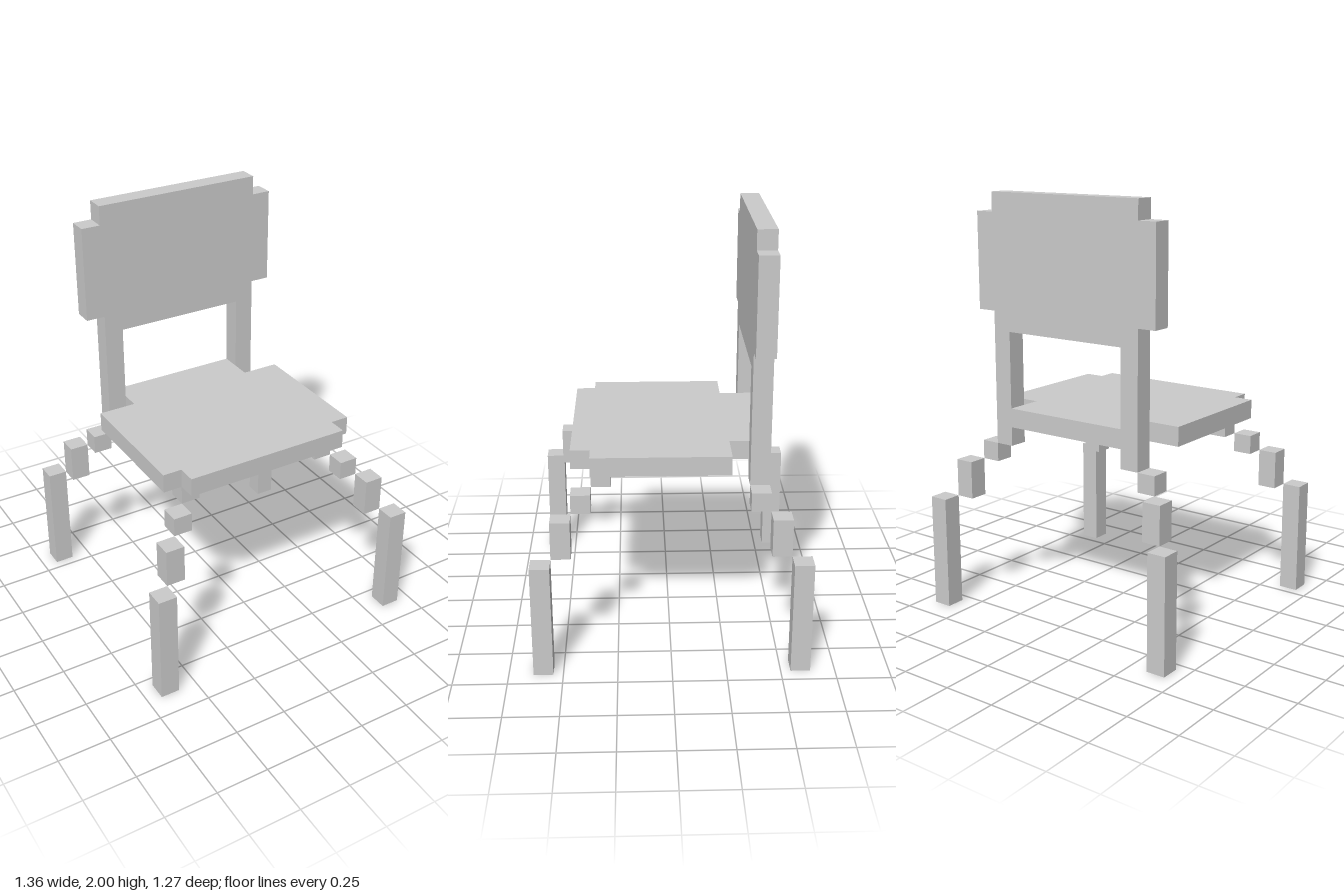
import * as THREE from 'three';

// Everything sits on a block grid: 22 blocks tall = 2 units
const U = 2 / 22;
const material = new THREE.MeshStandardMaterial({ color: 0xcccccc, flatShading: true });

// Closed shape, mirrored across x, from the points of its +x half (in blocks)
function mirroredShape(half) {
  const mirror = half.map(([x, y]) => [-x, y]).reverse();
  return new THREE.Shape([...half, ...mirror].map(([x, y]) => new THREE.Vector2(x * U, y * U)));
}

// One-block-thick slab
function slab(name, shape) {
  const geometry = new THREE.ExtrudeGeometry(shape, { depth: U, bevelEnabled: false });
  const mesh = new THREE.Mesh(geometry, material);
  mesh.name = name;
  return mesh;
}

// Leg blocks stepping outward: [x, z, bottom, top] in blocks, x and z being centres
function makeLeg(name, sideX, sideZ, steps) {
  const leg = new THREE.Group();
  leg.name = name;
  steps.forEach(([x, z, bottom, top], i) => {
    const block = new THREE.Mesh(new THREE.BoxGeometry(U, (top - bottom) * U, U), material);
    block.position.set(sideX * x * U, (bottom + top) / 2 * U, sideZ * z * U);
    block.name = `${name}Step${i + 1}`;
    leg.add(block);
  });
  return leg;
}

export function createModel() {
  const chair = new THREE.Group();
  chair.name = 'chair';

  // Seat: front corners notched, narrowed at the back to pass between the posts
  const seat = slab('seat', mirroredShape([
    [3.5, -4], [3.5, -3], [5.5, -3], [5.5, 4], [4.5, 4], [4.5, 5],
  ]));
  seat.rotation.x = Math.PI / 2;
  seat.position.y = 11 * U;
  chair.add(seat);

  // Backrest: panel with side ears, two posts and a bottom rail around an opening
  const backShape = mirroredShape([
    [3.5, 10], [3.5, 9], [4.5, 9], [4.5, 16], [5.5, 16], [5.5, 21], [4.5, 21], [4.5, 22],
  ]);
  backShape.holes.push(mirroredShape([[3.5, 11], [3.5, 15]]));
  const backrest = slab('backrest', backShape);
  backrest.position.z = -5 * U;
  chair.add(backrest);

  // Legs: the rear ones start from the backrest posts
  const lower = [[6, 5.5, 6, 8], [7, 6.5, 0, 6]];
  const frontSteps = [[4, 3.5, 9, 10], [5, 4.5, 8, 9], ...lower];
  const rearSteps = [[5, 4.5, 8, 9], ...lower];
  for (const [side, sx] of [['Left', 1], ['Right', -1]]) {
    chair.add(makeLeg(`front${side}Leg`, sx, 1, frontSteps));
    chair.add(makeLeg(`rear${side}Leg`, sx, -1, rearSteps));
  }
  return chair;
}
